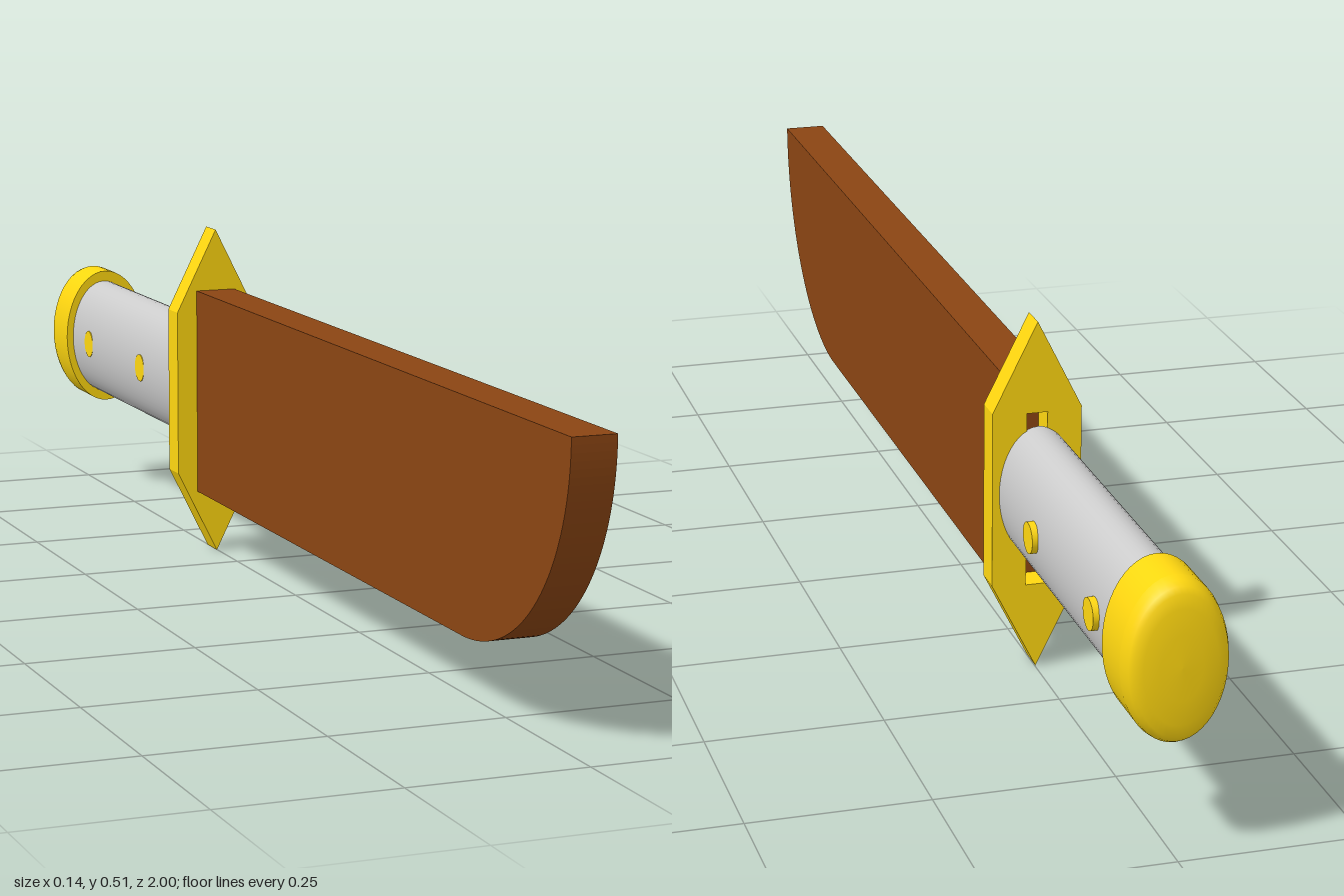
import * as THREE from 'three';

const gold = new THREE.MeshStandardMaterial({ color: 0xffd710 });
const brown = new THREE.MeshStandardMaterial({ color: 0x8b4513 });
const grey = new THREE.MeshStandardMaterial({ color: 0xcccccc });
const AXIS_Y = 0.264; // height of the grip axis

export function createModel() {
  const group = new THREE.Group();
  const add = (name, geometry, material, x, y, z) => {
    const mesh = new THREE.Mesh(geometry, material);
    mesh.name = name;
    mesh.position.set(x, y, z);
    group.add(mesh);
    return mesh;
  };

  // Blade: side outline (z, y) with a rounded belly, extruded across x
  const outline = new THREE.Shape();
  outline.moveTo(-0.34, 0.097);
  outline.lineTo(0.68, 0.097);
  outline.absellipse(0.68, 0.417, 0.32, 0.32, -Math.PI / 2, 0, false);
  outline.lineTo(-0.34, 0.417);
  outline.closePath();
  const bladeGeo = new THREE.ExtrudeGeometry(outline, { depth: 0.063, bevelEnabled: false, curveSegments: 24 });
  bladeGeo.rotateY(-Math.PI / 2);
  add('blade', bladeGeo, brown, 0.03, 0, 0);

  // Guard: pointed hexagon with a slot for the tang
  const points = (list) => list.map(([x, y]) => new THREE.Vector2(x, y));
  const hexagon = new THREE.Shape(points([
    [0, 0], [0.064, 0.128], [0.064, 0.384], [0, 0.512], [-0.064, 0.384], [-0.064, 0.128],
  ]));
  hexagon.holes.push(new THREE.Path(points([
    [-0.015, 0.125], [-0.015, 0.38], [0.015, 0.38], [0.015, 0.125],
  ])));
  const guardGeo = new THREE.ExtrudeGeometry(hexagon, { depth: 0.043, bevelEnabled: false });
  add('guard', guardGeo, gold, -0.001, 0, -0.383);

  // Handle: oval grip running from the guard into the pommel
  const handleGeo = new THREE.CylinderGeometry(1, 1, 0.54, 48);
  handleGeo.scale(0.056, 1, 0.095).rotateX(-Math.PI / 2);
  add('handle', handleGeo, grey, -0.003, AXIS_Y, -0.65);

  // Rivets: pins through the grip, standing proud on the left
  for (const z of [-0.545, -0.81]) {
    const rivetGeo = new THREE.CylinderGeometry(0.022, 0.022, 0.12, 24);
    rivetGeo.rotateZ(Math.PI / 2);
    add('rivet', rivetGeo, gold, 0.001, AXIS_Y + 0.001, z);
  }

  // Pommel: oval cap with a rounded end; doubled points keep the rims sharp
  const profile = points([
    [0, 0], [1, 0], [1, 0], [1, 0.07], [1, 0.07], [0.975, 0.082],
    [0.93, 0.091], [0.86, 0.097], [0.7, 0.101], [0.4, 0.104], [0, 0.105],
  ]);
  const pommelGeo = new THREE.LatheGeometry(profile, 48);
  pommelGeo.scale(0.07, 1, 0.112).rotateX(-Math.PI / 2);
  add('pommel', pommelGeo, gold, 0, AXIS_Y, -0.895);

  return group;
}
